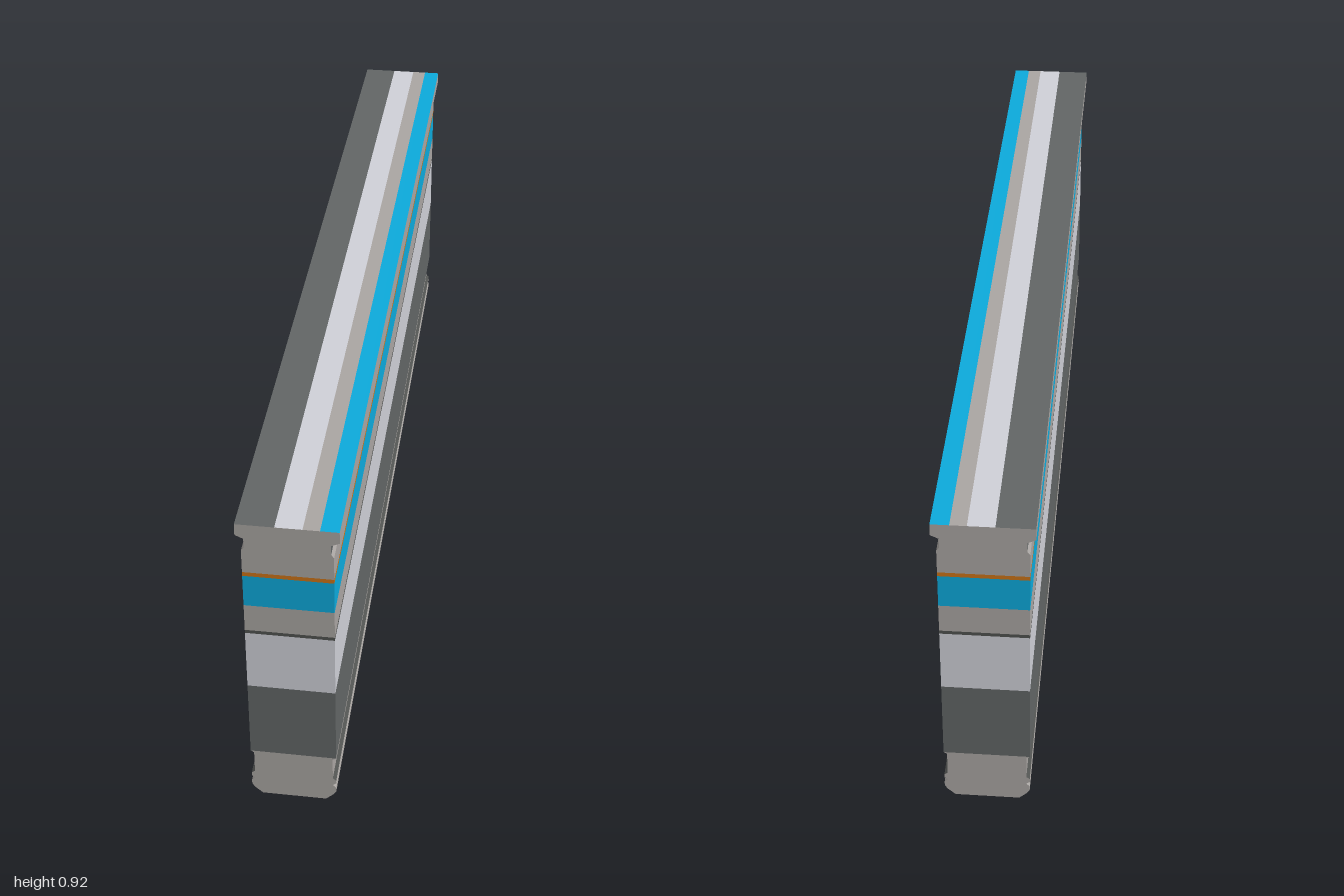
import * as THREE from 'three';

const L = 1.287; // half length of the wall

const mat = (name, color) => {
  const m = new THREE.MeshStandardMaterial({ color });
  m.name = name;
  return m;
};

// Flat faces from a list of four-cornered, counter-clockwise quads
function quads(list) {
  const pos = [];
  for (const [a, b, c, d] of list) pos.push(...a, ...b, ...c, ...a, ...c, ...d);
  const g = new THREE.BufferGeometry();
  g.setAttribute('position', new THREE.Float32BufferAttribute(pos, 3));
  g.computeVertexNormals();
  return g;
}

export function createModel() {
  const slate = mat('slate', 0x626666);
  const silver = mat('silver', 0xd0d1d8);
  const stone = mat('warm grey', 0xaaa6a3);
  const blue = mat('blue', 0x0caadc);
  const orange = mat('orange', 0xcc7418);
  const shadow = mat('dark trim', 0x505250);
  const base = mat('dark base', 0x4a4545);

  const wall = new THREE.Group();
  wall.name = 'wall';
  const add = (name, list, material) => {
    const mesh = new THREE.Mesh(quads(list), material);
    mesh.name = name;
    wall.add(mesh);
  };

  // Horizontal bands from the ground up:
  // name, bottom y, bottom half depth, top y, top half depth, side colour, end colour
  const bands = [
    ['footChamfer', 0, 0.085, 0.02, 0.106, base, stone],
    ['footEdge', 0.02, 0.106, 0.032, 0.113, shadow, stone],
    ['lowerMoulding', 0.032, 0.113, 0.045, 0.113, stone, stone],
    ['lowerMouldingTop', 0.045, 0.113, 0.055, 0.104, stone, stone],
    ['upperMouldingUnderside', 0.055, 0.104, 0.062, 0.113, shadow, stone],
    ['upperMoulding', 0.062, 0.113, 0.073, 0.113, stone, stone],
    ['upperMouldingTop', 0.073, 0.113, 0.08, 0.104, shadow, stone],
    ['plinth', 0.08, 0.104, 0.15, 0.104, stone, stone],
    ['panelUnderside', 0.15, 0.104, 0.156, 0.113, shadow, stone],
    ['lowerPanel', 0.156, 0.113, 0.392, 0.113, slate, slate],
    ['middlePanel', 0.392, 0.113, 0.573, 0.113, silver, silver],
    ['seam', 0.573, 0.113, 0.583, 0.113, shadow, shadow],
    ['upperPanel', 0.583, 0.113, 0.665, 0.113, stone, stone],
    ['blueStripe', 0.665, 0.113, 0.76, 0.113, blue, blue],
    ['orangeStripe', 0.76, 0.113, 0.772, 0.113, orange, orange],
    ['frieze', 0.772, 0.113, 0.84, 0.113, stone, stone],
    ['neck', 0.84, 0.113, 0.85, 0.106, stone, stone],
    ['recess', 0.85, 0.106, 0.877, 0.106, slate, stone],
    ['capUnderside', 0.877, 0.106, 0.887, 0.127, shadow, stone],
    ['cap', 0.887, 0.127, 0.92, 0.127, stone, stone],
  ];
  for (const [name, y0, h0, y1, h1, side, end] of bands) {
    add(name + 'Sides', [
      [[-L, y0, h0], [L, y0, h0], [L, y1, h1], [-L, y1, h1]],
      [[L, y0, -h0], [-L, y0, -h0], [-L, y1, -h1], [L, y1, -h1]],
    ], side);
    add(name + 'Ends', [
      [[L, y0, h0], [L, y0, -h0], [L, y1, -h1], [L, y1, h1]],
      [[-L, y0, -h0], [-L, y0, h0], [-L, y1, h1], [-L, y1, -h1]],
    ], end);
  }

  // Striped top of the cap
  const stripes = [
    ['topSlate', 0.127, 0.03, slate],
    ['topSilver', 0.03, -0.038, silver],
    ['topGrey', -0.038, -0.08, stone],
    ['topBlue', -0.08, -0.127, blue],
  ];
  for (const [name, z0, z1, m] of stripes)
    add(name, [[[-L, 0.92, z0], [L, 0.92, z0], [L, 0.92, z1], [-L, 0.92, z1]]], m);

  // Underside
  add('underside', [[[-L, 0, -0.085], [L, 0, -0.085], [L, 0, 0.085], [-L, 0, 0.085]]], base);

  // The wall stands on the diagonal
  wall.rotation.y = -Math.PI / 4;
  const model = new THREE.Group();
  model.name = 'diagonalWall';
  model.add(wall);
  return model;
}
